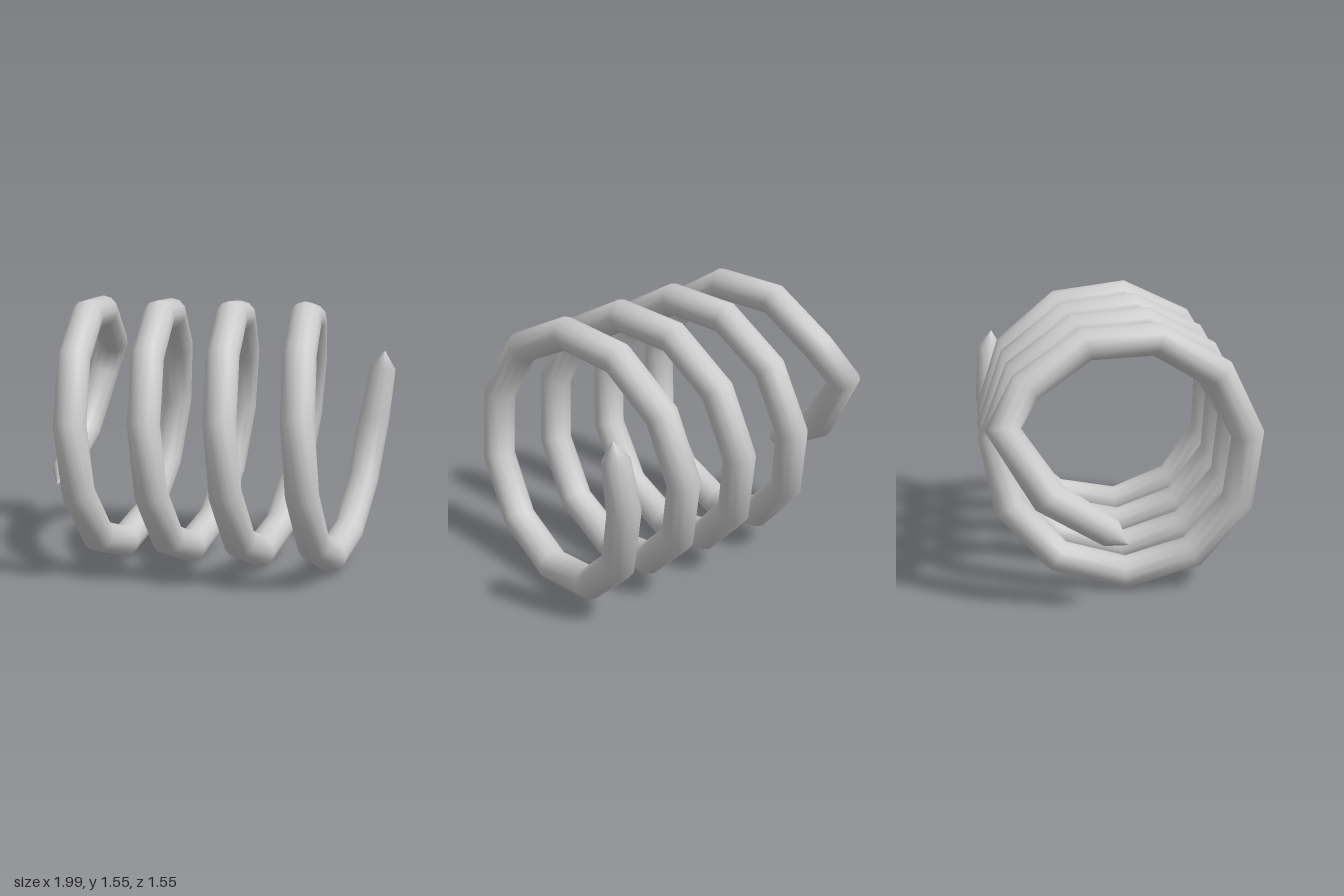
import * as THREE from 'three';

const SIDES = 12;
const AXIS_Y = 0.775, COIL_R = 0.687, WIRE_R = 0.092, PITCH = 0.418;

// Sweep round cross-sections [x, y, z, radius] into one smooth closed tube
function sweep(stations) {
  const centres = stations.map(([x, y, z]) => new THREE.Vector3(x, y, z));
  const position = [], index = [];
  stations.forEach((s, i) => {
    const c = centres[i];
    const before = centres[Math.max(i - 1, 0)];
    const after = centres[Math.min(i + 1, centres.length - 1)];
    const t = new THREE.Vector3();
    if (before !== c) t.add(c.clone().sub(before).normalize());
    if (after !== c) t.add(after.clone().sub(c).normalize());
    t.normalize();
    const u = new THREE.Vector3(1, 0, 0).addScaledVector(t, -t.x).normalize();
    const v = t.clone().cross(u);
    for (let j = 0; j < SIDES; j++) {
      const a = (j / SIDES) * Math.PI * 2;
      const p = c.clone()
        .addScaledVector(u, Math.cos(a) * s[3])
        .addScaledVector(v, Math.sin(a) * s[3]);
      position.push(p.x, p.y, p.z);
      if (i < stations.length - 1) {
        const k = i * SIDES + j, n = i * SIDES + (j + 1) % SIDES;
        index.push(k, n, k + SIDES, n, n + SIDES, k + SIDES);
      }
    }
  });
  const g = new THREE.BufferGeometry();
  g.setAttribute('position', new THREE.Float32BufferAttribute(position, 3));
  g.setIndex(index);
  g.computeVertexNormals();
  return g;
}

// Point on the coil: 0 degrees is the back, 90 the top, 180 the front
function coilPoint(deg) {
  const a = THREE.MathUtils.degToRad(deg);
  const x = -0.677 + PITCH * (deg - 105) / 360 + 0.017 * Math.sin(a);
  return [x, AXIS_Y + COIL_R * Math.sin(a), -COIL_R * Math.cos(a), WIRE_R];
}

export function createModel() {
  const group = new THREE.Group();
  group.name = 'coilSpring';

  // Pointed start that cuts in toward the axis
  const path = [
    [-0.93, 0.4, 0, 0],
    [-0.92, 0.465, -0.1, 0.078],
    [-0.895, 0.665, -0.42, 0.098],
    [-0.84, 1.02, -0.65, 0.095],
  ];
  // Regular coil, about eleven straight steps per turn
  const first = 39.8, last = 1440, steps = 43;
  for (let i = 0; i <= steps; i++) {
    path.push(coilPoint(first + (last - first) * i / steps));
  }
  // Pointed end that rises straight up
  path.push([0.92, 1.08, -0.682, 0.076], [0.93, 1.185, -0.672, 0]);

  const wire = new THREE.Mesh(
    sweep(path),
    new THREE.MeshStandardMaterial({ color: 0xcccccc })
  );
  wire.name = 'coiledWire';
  group.add(wire);
  return group;
}
